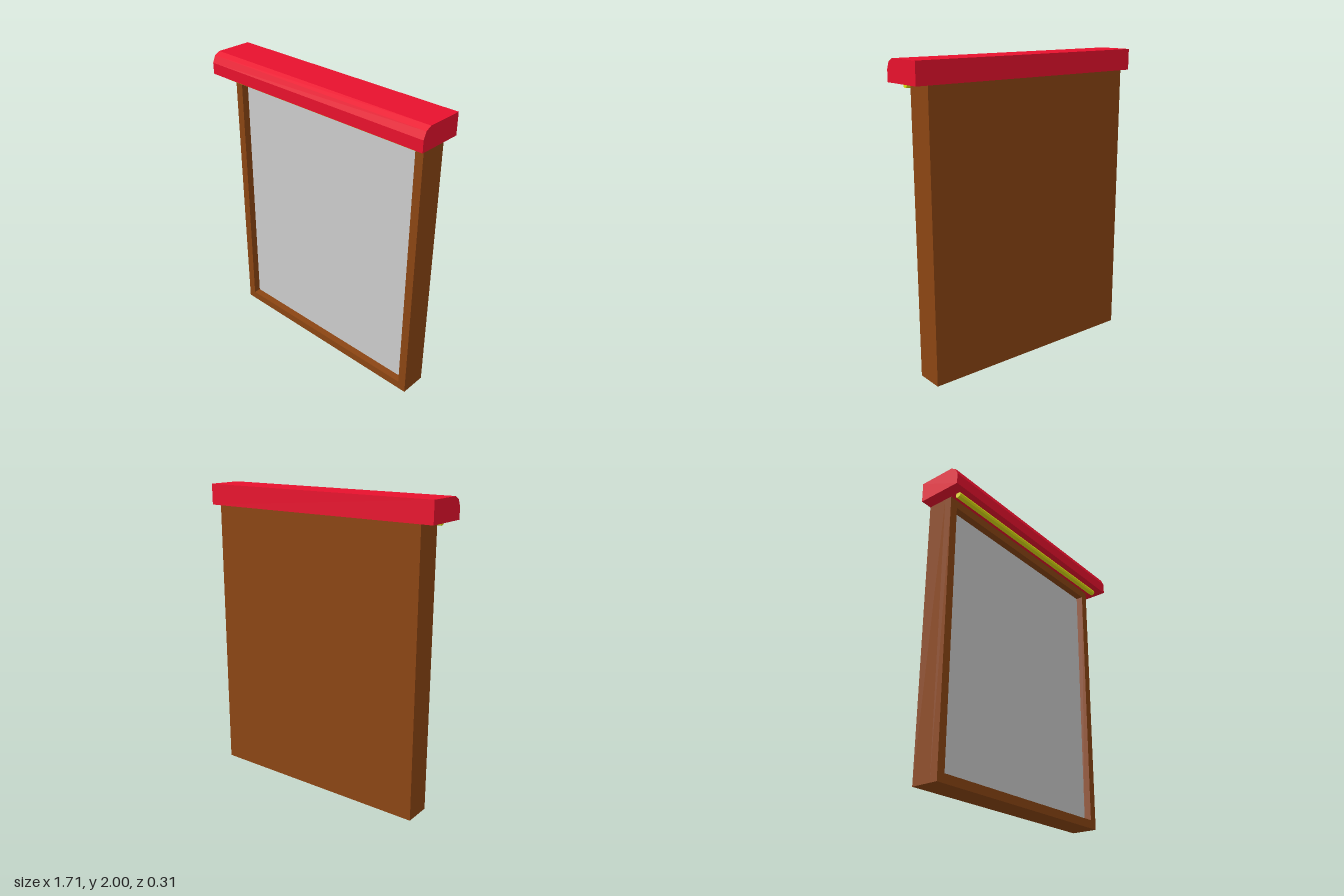
import * as THREE from 'three';

const paint = (color) => new THREE.MeshStandardMaterial({ color, flatShading: true });

function addMesh(group, name, geometry, material) {
  const mesh = new THREE.Mesh(geometry, material);
  mesh.name = name;
  group.add(mesh);
  return mesh;
}

export function createModel() {
  const group = new THREE.Group();
  group.name = 'hoodedDisplayBoard';

  const wood = paint(0x8b4513);
  const red = paint(0xe8112d);
  const yellow = paint(0xdddd11);
  const grey = paint(0xcccccc);

  const width = 1.555, height = 1.86, rim = 0.056;
  const back = -0.153, face = -0.02, front = 0.032;

  // Solid backing behind the recess
  const backing = addMesh(group, 'backing', new THREE.BoxGeometry(width, height, face - back), wood);
  backing.position.set(0, height / 2, (back + face) / 2);

  // Raised rim with a rectangular opening
  const outline = new THREE.Shape();
  outline.moveTo(-width / 2, 0);
  outline.lineTo(width / 2, 0);
  outline.lineTo(width / 2, height);
  outline.lineTo(-width / 2, height);
  outline.closePath();
  const opening = new THREE.Path();
  const ix = width / 2 - rim, top = height - rim;
  opening.moveTo(-ix, rim);
  opening.lineTo(-ix, top);
  opening.lineTo(ix, top);
  opening.lineTo(ix, rim);
  opening.closePath();
  outline.holes.push(opening);
  const frame = addMesh(group, 'frame',
    new THREE.ExtrudeGeometry(outline, { depth: front - face, bevelEnabled: false }), wood);
  frame.position.z = face;

  // Display panel set into the frame
  const panel = addMesh(group, 'panel', new THREE.PlaneGeometry(2 * ix, top - rim), grey);
  panel.position.set(0, height / 2, face + 0.002);

  // Overhanging hood: side profile (z, y) swept along x
  const profile = new THREE.Shape([
    [back, 1.86], [0.153, 1.86], [0.153, 1.935], [0.133, 1.98], [0.095, 2], [back, 2],
  ].map(([z, y]) => new THREE.Vector2(-z, y)).reverse());
  const hoodWidth = 1.71;
  const hoodGeometry = new THREE.ExtrudeGeometry(profile, { depth: hoodWidth, bevelEnabled: false });
  hoodGeometry.translate(0, 0, -hoodWidth / 2).rotateY(Math.PI / 2);
  addMesh(group, 'hood', hoodGeometry, red);

  // Strip light tucked under the hood
  const light = addMesh(group, 'lightTube', new THREE.CylinderGeometry(0.021, 0.021, width, 8), yellow);
  light.rotation.z = Math.PI / 2;
  light.position.set(0, 1.846, 0.092);

  return group;
}
